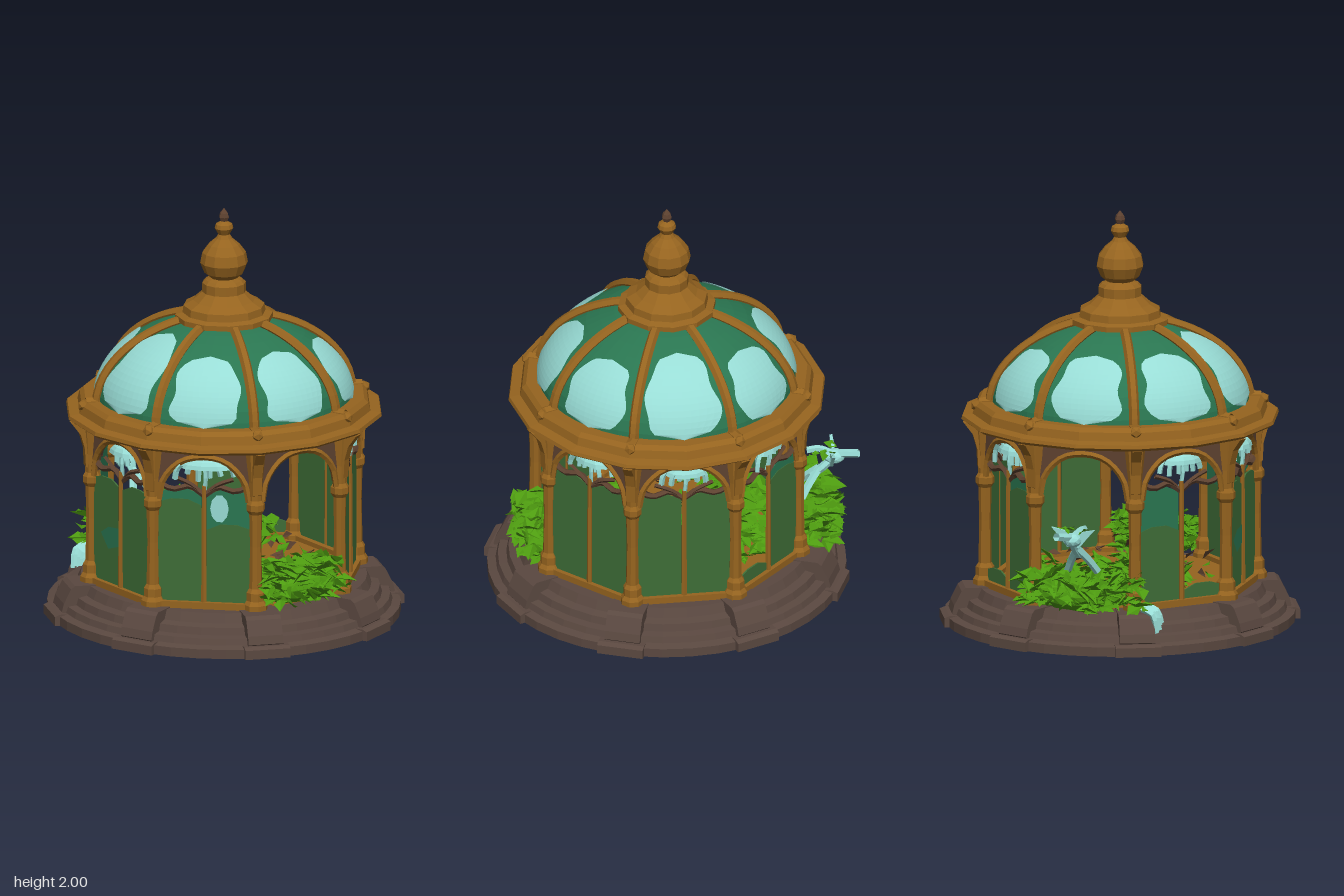
import * as THREE from 'three';

const mat = (name, color) => {
  const m = new THREE.MeshStandardMaterial({ color, side: THREE.DoubleSide });
  m.name = name;
  return m;
};
const M = {
  stone: mat('stone', 0x5a4840),
  wood: mat('bronze wood', 0x96641f),
  dark: mat('dark wood', 0x5e4230),
  teal: mat('dark green glass', 0x2a7651),
  sky: mat('pale blue glass', 0x98dcd5),
  pane: mat('green pane', 0x3e6d37),
  leaf: mat('leaf green', 0x4e9c10),
};

let seed = 7;
const rnd = () => (seed = (seed * 16807) % 2147483647) / 2147483647;
const range = (a, b) => a + (b - a) * rnd();
const V = (x, y, z) => new THREE.Vector3(x, y, z);
const STEP = Math.PI / 4;

function flat(geo) {
  const g = geo.index ? geo.toNonIndexed() : geo;
  g.computeVertexNormals();
  return g;
}
function add(parent, name, geo, material, pos = [0, 0, 0]) {
  const mesh = new THREE.Mesh(flat(geo), material);
  mesh.name = name;
  mesh.position.set(...pos);
  parent.add(mesh);
  return mesh;
}
function group(parent, name, angle = 0) {
  const g = new THREE.Group();
  g.name = name;
  g.rotation.y = angle;
  parent.add(g);
  return g;
}
const lathe = (pts, n) => new THREE.LatheGeometry(pts.map(p => new THREE.Vector2(...p)), n);
const tube = (pts, r, n = 8, sides = 5) =>
  new THREE.TubeGeometry(new THREE.CatmullRomCurve3(pts.map(p => V(...p))), n, r, sides);
const shapeOf = pts => new THREE.Shape(pts.map(p => new THREE.Vector2(...p)));
const plate = (pts, depth) => new THREE.ExtrudeGeometry(shapeOf(pts), { depth, bevelEnabled: false });
// side profile (outward, up) extruded to a centred width, outward along z
const slab = (pts, w) => plate(pts, w).translate(0, 0, -w / 2).rotateY(-Math.PI / 2);

// dome surface: a = elevation angle, t = turn around y
const domePoint = (a, t, off = 0) => {
  const r = (0.62 + off) * Math.cos(a);
  return V(r * Math.sin(t), 1.05 + (0.42 + off) * Math.sin(a), r * Math.cos(t));
};
// rounded glass patch lying just over the dome
function domePatch(t0, a0, a1, half) {
  const g = new THREE.PlaneGeometry(1, 1, 10, 14), p = g.attributes.position;
  for (let i = 0; i < p.count; i++) {
    const u = p.getX(i) * 2, v = p.getY(i) + 0.5;
    const w = half * Math.sqrt(Math.max(0, 1 - Math.abs(2 * v - 1) ** 5)) * (1 + 0.08 * Math.sin(v * 11 + u + t0));
    const q = domePoint(a0 + (a1 - a0) * v, t0 + u * w, 0.007);
    p.setXYZ(i, q.x, q.y, q.z);
  }
  return g;
}

// many folded leaves scattered by a placing rule
function leaves(count, place, size) {
  const out = [];
  const e = new THREE.Euler();
  for (let i = 0; i < count; i++) {
    const c = place(), s = size * range(0.7, 1.3);
    e.set(range(-0.8, 0.8), range(0, 6.28), range(-0.5, 0.5));
    const [a, b, l, r] = [V(0, 0, -s), V(0, -0.2 * s, s), V(-0.6 * s, 0.2 * s, 0), V(0.6 * s, 0.2 * s, 0)]
      .map(v => v.applyEuler(e).add(c));
    for (const v of [a, l, b, a, b, r]) out.push(v.x, v.y, v.z);
  }
  const g = new THREE.BufferGeometry();
  g.setAttribute('position', new THREE.Float32BufferAttribute(out, 3));
  return g;
}

function buildBase(root) {
  const base = group(root, 'base');
  base.scale.x = 1.025;
  add(base, 'steps', lathe([[0, 0], [0.84, 0], [0.84, 0.045], [0.8, 0.055], [0.79, 0.085], [0.75, 0.09],
    [0.74, 0.125], [0.7, 0.135], [0.68, 0.18], [0, 0.18]], 40), M.stone);
  add(base, 'floor', new THREE.CylinderGeometry(0.6, 0.6, 0.01, 32), M.wood, [0, 0.185, 0]);
  for (let k = 0; k < 8; k++) {
    const pier = group(base, 'pier', (k + 0.5) * STEP);
    add(pier, 'pierBlock', slab([[0.56, 0], [0.8, 0.04], [0.815, 0.06], [0.805, 0.1], [0.77, 0.17], [0.75, 0.185], [0.56, 0.185]], 0.17), M.stone);
    add(pier, 'pierFoot', slab([[0.6, 0], [0.855, 0], [0.855, 0.045], [0.83, 0.055], [0.6, 0.055]], 0.22), M.stone);
  }
}

function buildColumn(root, k) {
  const col = group(root, 'column', (k + 0.5) * STEP);
  add(col, 'shaft', lathe([[0, 0.18], [0.058, 0.18], [0.058, 0.21], [0.045, 0.23], [0.045, 0.27], [0.032, 0.29], [0.028, 0.5],
    [0.032, 0.66], [0.045, 0.68], [0.045, 0.71], [0.033, 0.73], [0.035, 0.82], [0.05, 0.98], [0, 0.98]], 8), M.wood, [0, 0, 0.65]);
  // outward bracket under the eaves
  add(col, 'bracket', slab([[0.65, 0.74], [0.685, 0.76], [0.69, 0.85], [0.71, 0.92], [0.755, 0.98], [0.62, 0.98]], 0.045), M.wood);
  // dome rib ending in a knob on the eaves
  const pts = [];
  for (let i = 0; i <= 8; i++) pts.push(domePoint(0.04 + i * 0.155, 0, 0.008).toArray());
  add(col, 'rib', tube(pts, 0.025, 14, 6), M.wood);
  add(col, 'ribFoot', tube([[0, 1.07, 0.6], [0, 1.07, 0.68]], 0.028, 2, 6), M.wood);
  add(col, 'ribKnob', new THREE.IcosahedronGeometry(0.03, 0), M.wood, [0, 1.06, 0.69]);
}

// one side of the pavilion, x across and z outward
function buildSide(root, k) {
  const side = group(root, 'side', k * STEP);
  const wall = group(side, 'wall');
  wall.position.z = 0.6;

  // arched spandrel with trim
  const s = shapeOf([[-0.25, 0.74], [-0.25, 0.99], [0.25, 0.99], [0.25, 0.74], [0.215, 0.74]]);
  s.bezierCurveTo(0.2, 0.86, 0.13, 0.93, 0, 0.93);
  s.bezierCurveTo(-0.13, 0.93, -0.2, 0.86, -0.215, 0.74);
  add(wall, 'archSpandrel', new THREE.ExtrudeGeometry(s, { depth: 0.035, bevelEnabled: false, curveSegments: 8 }), M.dark, [0, 0, -0.018]);
  add(wall, 'archTrim', tube([[-0.218, 0.72, 0], [-0.195, 0.82, 0], [-0.11, 0.91, 0], [0, 0.935, 0],
    [0.11, 0.91, 0], [0.195, 0.82, 0], [0.218, 0.72, 0]], 0.016, 16), M.wood, [0, 0, 0.014]);
  if (k === 2 || k === 6) return;

  add(wall, 'sill', new THREE.BoxGeometry(0.46, 0.035, 0.06), M.wood, [0, 0.195, 0]);
  add(wall, 'mullion', new THREE.CylinderGeometry(0.011, 0.015, 0.6, 6), M.wood, [0, 0.49, 0.01]);
  // branching rail over the panes
  for (const d of [-1, 1]) {
    add(wall, 'railBranch', tube([[d * 0.23, 0.8, 0], [d * 0.15, 0.77, 0.01], [d * 0.07, 0.785, 0], [0, 0.74, 0]], 0.015), M.dark);
    add(wall, 'twig', tube([[d * 0.02, 0.76, 0], [d * 0.07, 0.8, 0.01], [d * 0.14, 0.825, 0]], 0.011, 5, 4), M.dark);
  }
  // panes; on the two sides next to the right opening one is broken down to its foot
  for (const d of [-1, 1]) {
    const pane = (y0, y1, material, name, z = 0) => add(wall, name, plate(
      [[d * 0.012, y0], [d * 0.225, y0], [d * 0.225, y1 - 0.02], [d * 0.16, y1], [d * 0.08, y1], [d * 0.012, y1 - 0.03]], 0.008),
      material, [0, 0, z]);
    const broken = (k === 7 && d === 1) || (k === 5 && d === -1);
    const top = broken ? 0.28 : k === 0 ? 0.73 : 0.77;
    const split = broken || k === 0 || k === 3 || k === 4 ? top : k === 7 ? 0.58 : k === 1 && d === 1 ? 0.6 : 0.72;
    pane(0.2, split, M.pane, 'pane');
    if (split < top) pane(split - 0.035, top, M.teal, 'paneTop', -0.003);
  }
  if (k === 0) add(wall, 'paneStain', new THREE.ShapeGeometry(
    shapeOf([[-0.16, 0.45], [-0.1, 0.38], [-0.015, 0.41], [-0.015, 0.5], [-0.1, 0.49]])), M.teal, [0, 0, 0.012]);
  if (k === 1) add(wall, 'paneGlint', new THREE.CircleGeometry(0.05, 10).scale(0.9, 1.4, 1), M.sky, [0.075, 0.68, 0.013]);

  // pale drooping canopy in the arch
  const w = k === 1 ? 0.13 : 0.1;
  add(wall, 'frondCanopy', new THREE.SphereGeometry(1, 9, 4, 0, 6.2832, 0, 1.5).scale(w, 0.055, 0.05), M.sky, [0.01, 0.872, 0]);
  for (let i = 0; i < 6; i++) {
    const x = (i / 5 - 0.5) * 2 * w, z = range(-0.03, 0.03);
    add(wall, 'frond', tube([[x * 0.85, 0.895, z], [x, 0.87, z], [x * 1.08, range(0.81, 0.855), z]], 0.014, 4, 4), M.sky);
  }
  add(wall, 'frondStem', tube([[0, 0.76, 0], [0.008, 0.83, 0.01], [0, 0.9, 0]], 0.011, 4, 5), M.sky);
}

function buildRoof(root) {
  const roof = group(root, 'roof');
  add(roof, 'eaves', lathe([[0.57, 0.98], [0.745, 0.98], [0.765, 0.995], [0.76, 1.012], [0.71, 1.02], [0.7, 1.06],
    [0.68, 1.08], [0.6, 1.08], [0.57, 0.98]], 16), M.wood);
  add(roof, 'soffit', new THREE.RingGeometry(0.57, 0.72, 16).rotateX(Math.PI / 2), M.dark, [0, 0.976, 0]);
  const profile = off => Array.from({ length: 11 }, (_, i) => {
    const q = domePoint(i * 0.128, 0, off);
    return [q.z, q.y];
  });
  add(roof, 'dome', lathe(profile(0), 48), M.teal);
  add(roof, 'domeLining', lathe(profile(-0.008), 48), M.leaf);
  const tops = [1.07, 0.87, 0.88, 0.82, 0.98, 0.82, 0.86, 0.87];
  tops.forEach((a1, k) => add(roof, 'domeGlassPatch', domePatch(k * STEP, 0.07, a1, k % 4 ? 0.285 : 0.31), M.sky));
  add(roof, 'crown', lathe([[0.15, 1.43], [0.235, 1.45], [0.235, 1.475], [0.2, 1.485], [0.195, 1.52], [0.15, 1.545], [0.105, 1.585],
    [0.105, 1.63], [0.09, 1.645], [0.065, 1.655], [0.095, 1.68], [0.115, 1.73], [0.105, 1.78], [0.075, 1.82], [0.04, 1.85],
    [0.028, 1.87], [0.045, 1.9], [0.04, 1.92], [0.016, 1.935]], 12), M.wood);
  add(roof, 'finial', lathe([[0.016, 1.93], [0.026, 1.955], [0.02, 1.975], [0, 2]], 6), M.dark);
}

function buildGarden(root) {
  const garden = group(root, 'garden');
  const arc = (t0, t1, r0, r1, y0, y1) => () => {
    const t = range(t0, t1), r = range(r0, r1);
    return V(r * Math.sin(t), range(y0, y1), r * Math.cos(t));
  };
  add(garden, 'rightBush', leaves(300, arc(-1.92, -1.14, 0.62, 0.83, 0.21, 0.36), 0.052), M.leaf);
  add(garden, 'leftBush', leaves(300, arc(1.24, 1.9, 0.5, 0.73, 0.21, 0.38), 0.052), M.leaf);
  add(garden, 'innerBush', leaves(230, arc(-2.7, -0.6, 0.34, 0.54, 0.21, 0.35), 0.05), M.leaf);
  add(garden, 'floorLeaves', leaves(110, arc(0, 6.28, 0.05, 0.45, 0.2, 0.26), 0.05), M.leaf);
  add(garden, 'fallenLeaves', leaves(40, arc(0, 6.28, 0.2, 0.5, 0.22, 0.3), 0.04), M.dark);
  for (const [x, n] of [[-0.71, 'rightBushHeart'], [0.62, 'leftBushHeart']])
    add(garden, n, new THREE.IcosahedronGeometry(0.1, 1).scale(0.9, 0.85, 2.2), M.leaf, [x, 0.27, 0]);

  // pale winged ornament over the right bush
  const bird = group(garden, 'wingedOrnament');
  add(bird, 'body', tube([[-0.7, 0.46, 0], [-0.77, 0.52, -0.01], [-0.81, 0.56, 0], [-0.92, 0.59, -0.05]], 0.021, 8, 6), M.sky);
  add(bird, 'chest', new THREE.IcosahedronGeometry(0.045, 1).scale(1.2, 0.8, 1), M.sky, [-0.81, 0.555, 0]);
  for (const d of [-1, 1]) {
    add(bird, 'leg', tube([[-0.64, 0.37, d * 0.075], [-0.68, 0.43, d * 0.045], [-0.74, 0.5, 0]], 0.02, 6, 5), M.sky);
    add(bird, 'wing', plate([[0, 0], [0.04, 0.06], [0.11, 0.075], [0.07, 0.03], [0.03, -0.02]], 0.015)
      .rotateY(d > 0 ? -Math.PI / 2 : Math.PI / 2), M.sky, [-0.8, 0.535, 0]);
  }
  add(bird, 'crest', tube([[-0.8, 0.57, 0], [-0.74, 0.59, 0.02], [-0.68, 0.585, 0.02]], 0.017, 5, 5), M.sky);
  add(bird, 'crestLeaves', leaves(6, () => V(range(-0.8, -0.68), 0.595, range(-0.07, 0.07)), 0.028), M.leaf);
  // pale trailing roots beside the steps, under the bush
  for (let i = 0; i < 5; i++) {
    const x = -0.7 + i * 0.024;
    add(garden, 'trailingRoot', tube([[x, 0.21, 0.31], [x - 0.01, 0.19, 0.365], [x, range(0.09, 0.12), 0.385]], 0.014, 5, 4), M.sky);
  }
}

export function createModel() {
  const model = new THREE.Group();
  model.name = 'gardenPavilion';
  const root = group(model, 'pavilion');
  root.position.x = 0.023;
  buildBase(root);
  for (let k = 0; k < 8; k++) {
    buildColumn(root, k);
    buildSide(root, k);
  }
  buildRoof(root);
  buildGarden(root);
  return model;
}
